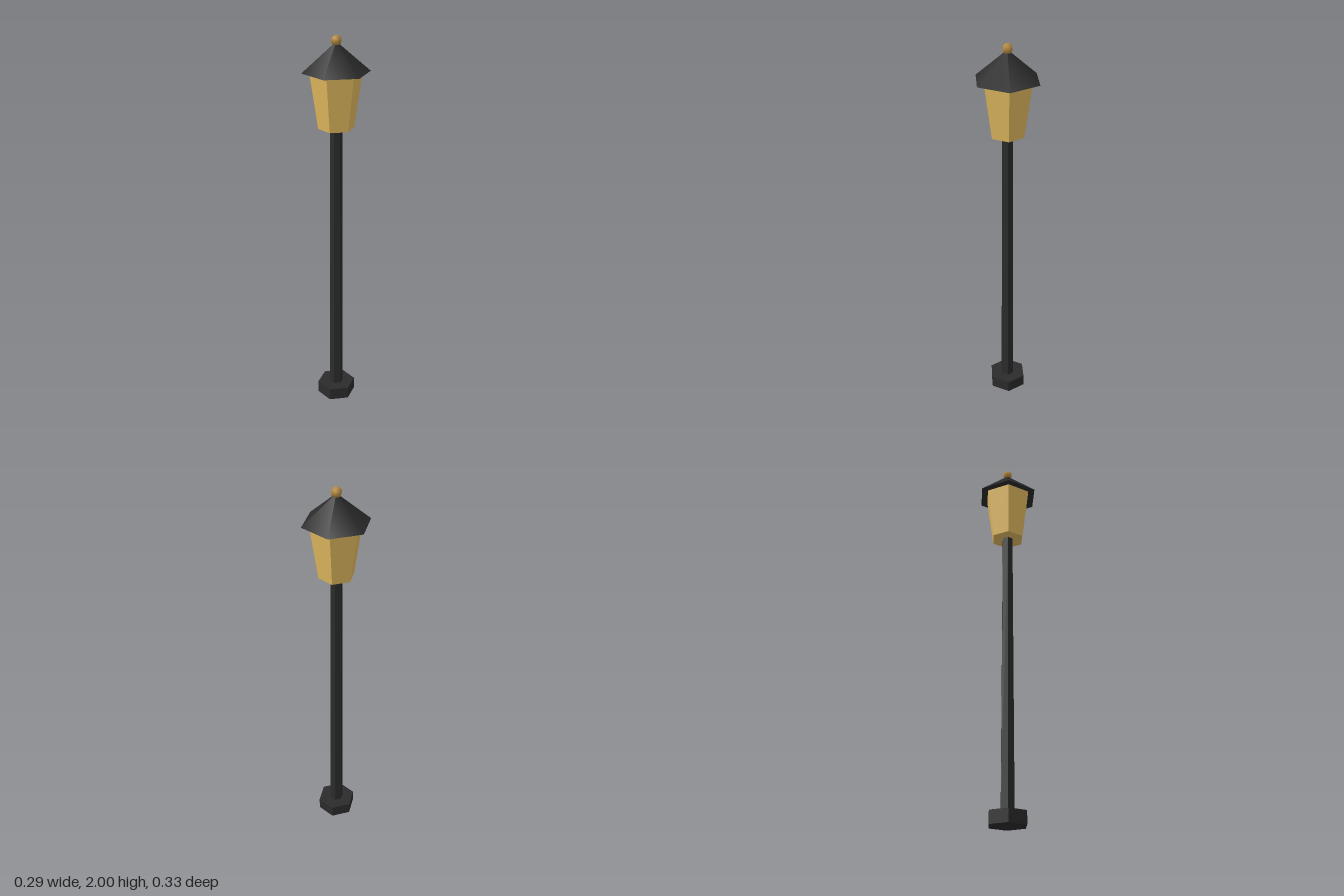
import * as THREE from 'three';

export function createModel() {
  const group = new THREE.Group();
  group.name = 'streetLamp';

  const iron = new THREE.MeshStandardMaterial({ color: 0x2b2b2c });
  iron.name = 'darkIron';
  const glass = new THREE.MeshStandardMaterial({ color: 0xe3bb60 });
  glass.name = 'amberGlass';
  const brass = new THREE.MeshStandardMaterial({ color: 0xb5893f });
  brass.name = 'brass';

  // Hexagonal frustum from y0 to y1, with a corner facing the front
  function hexPart(name, rBottom, rTop, y0, y1, material, flat = true) {
    let geometry = new THREE.CylinderGeometry(rTop, rBottom, y1 - y0, 6);
    if (flat) {
      geometry = geometry.toNonIndexed();
      geometry.computeVertexNormals();
    }
    const mesh = new THREE.Mesh(geometry, material);
    mesh.name = name;
    mesh.position.y = (y0 + y1) / 2;
    group.add(mesh);
  }

  hexPart('base', 0.102, 0.102, 0, 0.066, iron);
  hexPart('post', 0.037, 0.03, 0.066, 1.55, iron);
  hexPart('lantern', 0.089, 0.129, 1.55, 1.825, glass);
  hexPart('roof', 0.167, 0, 1.825, 1.97, iron, false);

  // Finial ball on the roof tip
  const ball = new THREE.Mesh(new THREE.SphereGeometry(0.026, 6, 6), brass);
  ball.name = 'finial';
  ball.rotation.y = Math.PI / 2;
  ball.position.y = 1.974;
  group.add(ball);

  return group;
}
